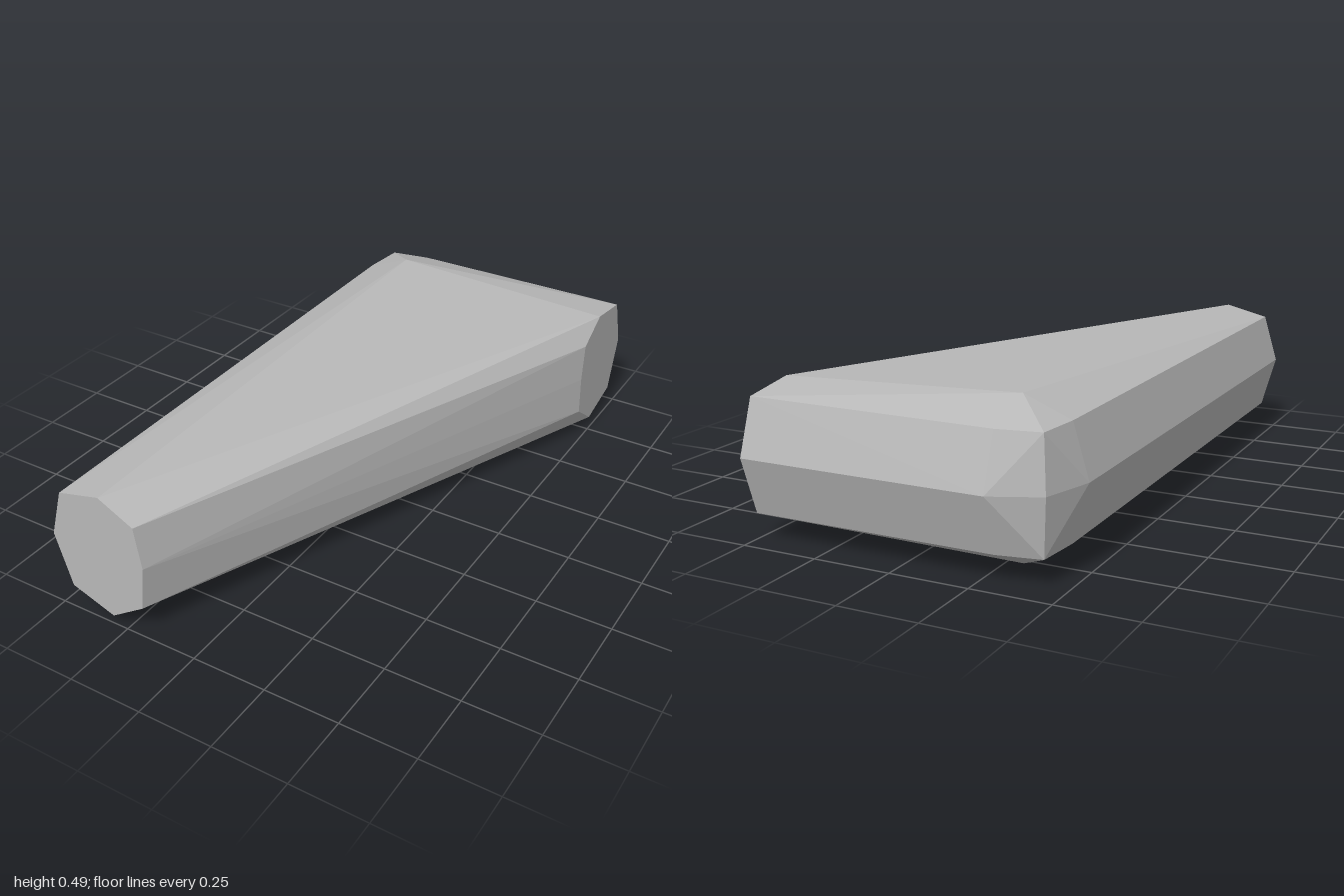
import * as THREE from 'three';
import { ConvexGeometry } from 'three/addons/geometries/ConvexGeometry.js';

export function createModel() {
  const group = new THREE.Group();
  const grey = new THREE.MeshStandardMaterial({ color: 0xb8b8b8 });
  grey.name = 'plain grey';
  const points = [];
  const add = (x, y, z) => points.push(new THREE.Vector3(x, y, z));

  // Narrow front end: eight-sided section in the xy plane
  const frontEnd = [
    [-0.5, 0.265], [-0.45, 0.43], [-0.3, 0.467], [-0.18, 0.405],
    [-0.16, 0.265], [-0.18, 0.11], [-0.3, 0.03], [-0.45, 0.085],
  ];
  for (const [x, y] of frontEnd) add(x, y, 1);

  // Side end: eight-sided section in the zy plane
  const sideEnd = [
    [-1, 0.265], [-0.94, 0.436], [-0.77, 0.463], [-0.655, 0.395],
    [-0.645, 0.265], [-0.655, 0.125], [-0.77, 0.04], [-0.94, 0.082],
  ];
  for (const [z, y] of sideEnd) add(0.495, y, z);

  // Rounded back corner: middle ring, then upper and lower rings and poles
  add(-0.5, 0.265, -0.77);
  add(-0.45, 0.265, -0.935);
  add(-0.3, 0.265, -1);
  for (const [ring, pole] of [[0.433, 0.493], [0.083, 0]]) {
    add(-0.45, ring, -0.77);
    add(-0.435, ring, -0.915);
    add(-0.3, ring, -0.94);
    add(-0.3, pole, -0.77);
  }

  const body = new THREE.Mesh(new ConvexGeometry(points), grey);
  body.name = 'taperedBody';
  group.add(body);
  return group;
}
